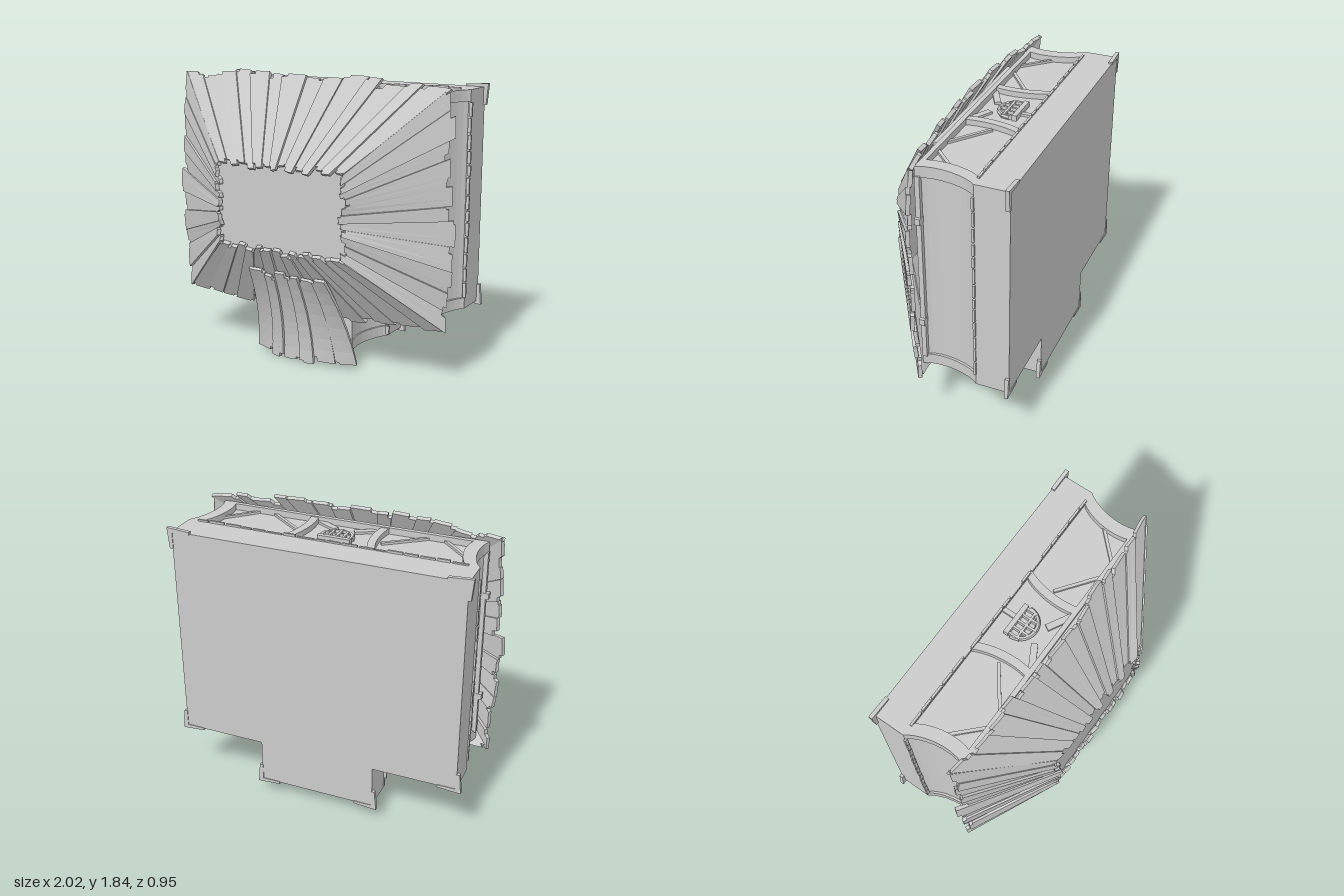
import * as THREE from 'three';

const mat = new THREE.MeshStandardMaterial({ color: 0xcccccc, flatShading: true });
const V = (x, y, z) => new THREE.Vector3(x, y, z);
const { lerp } = THREE.MathUtils;
let seed = 7;
const rnd = (a = 0, b = 1) => {
  seed = (seed * 16807) % 2147483647;
  return a + (b - a) * (seed / 2147483647);
};

function add(parent, name, geo, x = 0, y = 0, z = 0) {
  const m = new THREE.Mesh(geo, mat);
  m.name = name;
  m.position.set(x, y, z);
  parent.add(m);
  return m;
}
const box = (p, name, w, h, d, x, y, z) => add(p, name, new THREE.BoxGeometry(w, h, d), x, y, z);

// Flat bar lying between two points of a horizontal deck
function strut(p, x0, z0, x1, z1, y, w = 0.02, h = 0.02) {
  const m = box(p, 'deckStrut', Math.hypot(x1 - x0, z1 - z0), h, w, (x0 + x1) / 2, y, (z0 + z1) / 2);
  m.rotation.y = -Math.atan2(z1 - z0, x1 - x0);
}

// Horizontal outline extruded between two heights
function slab(p, name, shape, y0, y1) {
  const geo = new THREE.ExtrudeGeometry(shape, { depth: y1 - y0, bevelEnabled: false, curveSegments: 8 });
  return add(p, name, geo.rotateX(Math.PI / 2), 0, y1, 0);
}

// Plan outline with straight back and gently hollowed sides
function plan(w, front) {
  const s = new THREE.Shape();
  s.moveTo(-w, -0.48);
  s.lineTo(w, -0.48);
  s.lineTo(w, -0.27);
  s.bezierCurveTo(w - 0.05, -0.22, w - 0.11, -0.03, w - 0.05, front);
  s.lineTo(-w + 0.05, front);
  s.bezierCurveTo(-w + 0.11, -0.03, -w + 0.05, -0.22, -w, -0.27);
  return s;
}

// Curved rib in plan: x at the back, bowing sideways by "bow", width w
function rib(x, bow, w) {
  const s = new THREE.Shape();
  s.moveTo(x, -0.27);
  s.bezierCurveTo(x + bow * 0.45, -0.22, x + bow, -0.03, x + bow * 0.45, 0.1);
  s.lineTo(x + bow * 0.45 + w, 0.1);
  s.bezierCurveTo(x + bow + w, -0.03, x + bow * 0.45 + w, -0.22, x + w, -0.27);
  return s;
}

// Board with split ends: at(u, v) gives its back face, v runs along the grain
function plank(p, name, at, thick, segs, jitter, lift) {
  const geo = new THREE.BoxGeometry(1, 1, 1, 4, segs, 1);
  const pos = geo.attributes.position;
  const notch = rnd(0.12, 0.3);
  const left = rnd() < 0.5;
  const cols = left ? [0, notch, notch + 0.03, 0.75, 1] : [0, 0.3, 1 - notch - 0.03, 1 - notch, 1];
  const ends = [0, 1].map(() => {
    const e = rnd(-jitter, jitter), cut = rnd(0.015, 0.05);
    return cols.map((c, i) => e - (left ? i < 2 : i > 2) * cut + rnd(-0.006, 0.006));
  });
  const tilt = rnd(-0.012, 0.012);
  for (let i = 0; i < pos.count; i++) {
    const c = Math.round((pos.getX(i) + 0.5) * 4);
    const t = pos.getY(i) + 0.5;
    const u = cols[c], v = lerp(-ends[0][c], 1 + ends[1][c], t);
    const normal = at(1, v).sub(at(0, v)).cross(at(u, v + 0.01).sub(at(u, v - 0.01))).normalize();
    const q = at(u, v).addScaledVector(normal, lift + tilt * (u - 0.5) + (pos.getZ(i) + 0.5) * thick);
    pos.setXYZ(i, q.x, q.y, q.z);
  }
  const flat = geo.toNonIndexed();
  flat.computeVertexNormals();
  add(p, name, flat);
}

// Uneven division of 0..1 into n strips, running past both ends by "extra"
function divisions(n, extra = 0) {
  const cuts = [-extra];
  for (let i = 1; i < n; i++) cuts.push((i + rnd(-0.2, 0.2)) / n);
  return [...cuts, 1 + extra];
}

// Small barred basket set on a deck
function basket(p, x, y, z) {
  const g = new THREE.Group();
  g.name = 'basketGrille';
  box(g, 'basketBeam', 0.21, 0.04, 0.03, 0, 0, -0.07);
  for (const dx of [-0.09, -0.045, 0, 0.045, 0.09])
    box(g, 'basketBar', 0.014, 0.03, 0.14 - Math.abs(dx) * 0.6, dx, 0, -Math.abs(dx) * 0.3);
  const rim = add(g, 'basketRim', new THREE.TorusGeometry(0.1, 0.014, 6, 14, Math.PI), 0, 0, -0.04);
  rim.rotation.x = Math.PI / 2;
  box(g, 'basketCross', 0.19, 0.03, 0.014, 0, 0, 0);
  g.position.set(x, y, z);
  p.add(g);
}

export function createModel() {
  seed = 7;
  const model = new THREE.Group();
  model.name = 'plankedHood';

  // Main casing and stem
  const body = new THREE.Group();
  body.name = 'casing';
  model.add(body);
  slab(body, 'casingCore', plan(0.905, 0.09), 0.43, 1.72);
  box(body, 'backSlab', 1.84, 1.37, 0.21, 0, 1.075, -0.375);
  slab(body, 'stemCore', plan(0.37, 0.09), 0.15, 0.45);
  box(body, 'stemBack', 0.76, 0.36, 0.21, 0, 0.29, -0.375);

  // Raised end ribs at the side edges of each deck
  for (const [y0, y1, w] of [[1.69, 1.76, 0.92], [0.39, 0.46, 0.92], [0.11, 0.18, 0.38]])
    for (const s of [-1, 1])
      slab(body, 'edgeRib', rib(s > 0 ? w - 0.08 : -w, -s * 0.11, 0.08), y0, y1);
  for (const s of [-1, 1]) {
    box(body, 'sideFrontPost', 0.03, 1.25, 0.03, s * 0.86, 1.075, 0.085);
    for (const y of [0.72, 1.42]) box(body, 'sideClip', 0.05, 0.04, 0.035, s * 0.87, y, 0.085);
  }
  for (const [y, w] of [[1.735, 1.68], [0.415, 1.68], [0.135, 0.6]])
    box(body, 'deckFrontRail', w, 0.05, 0.03, 0, y, 0.085);
  box(body, 'topFrontSill', 1.1, 0.04, 0.06, 0, 1.72, 0.11);

  // Top deck dressing
  for (const s of [-1, 1]) {
    slab(body, 'topRib', rib(s > 0 ? 0.25 : -0.3, -s * 0.08, 0.05), 1.71, 1.755);
    strut(body, s * 0.8, -0.11, s * 0.6, 0.09, 1.725);
    strut(body, s * 0.52, 0.09, s * 0.27, -0.1, 1.725);
    strut(body, s * 0.24, 0.1, s * 0.06, 0, 1.725, 0.04);
  }
  strut(body, 0.015, -0.27, 0.015, -0.16, 1.725, 0.03);
  basket(body, 0, 1.735, -0.1);

  // Underside dressing beside the stem and beneath it
  for (const s of [-1, 1]) {
    basket(body, s * 0.61, 0.415, -0.09);
    for (const [dx, z] of [[-0.2, -0.25], [0.2, -0.25], [-0.2, 0.08], [0.2, 0.08]])
      strut(body, s * 0.61 + dx, z, s * 0.61 + dx * 0.4, -0.09 + (z + 0.09) * 0.4, 0.425);
    strut(body, s * 0.29, -0.26, s * 0.13, -0.15, 0.145);
    strut(body, s * 0.26, 0.08, s * 0.13, -0.03, 0.145);
    for (let i = 0; i < 4; i++)
      box(body, 'stemTrim', 0.025, 0.055, 0.014, s * (0.38 + rnd(-0.006, 0.008)), 0.15 + i * 0.065, -0.267);
  }
  add(body, 'stemDisc', new THREE.CylinderGeometry(0.12, 0.12, 0.05, 24), 0, 0.14, -0.09);
  const ring = add(body, 'stemRing', new THREE.TorusGeometry(0.155, 0.018, 6, 24), 0, 0.14, -0.09);
  ring.rotation.x = Math.PI / 2;

  // Broken trim strips along the step in the casing
  const topCuts = divisions(18), sideCuts = divisions(13);
  for (let i = 0; i < 18; i++) {
    const x = -0.86 + 1.72 * (topCuts[i] + topCuts[i + 1]) / 2, w = 1.72 * (topCuts[i + 1] - topCuts[i]) - 0.012;
    box(body, 'topTrim', w, 0.02, 0.014, x, 1.76 + rnd(-0.005, 0.005), -0.27);
    if (Math.abs(x) > 0.45) box(body, 'bottomTrim', w, 0.02, 0.014, x, 0.39, -0.27);
  }
  for (let i = 0; i < 13; i++) for (const s of [-1, 1])
    box(body, 'sideTrim', 0.02, 1.23 * (sideCuts[i + 1] - sideCuts[i]) - 0.012, 0.014,
      s * (0.92 + rnd(-0.004, 0.006)), 0.46 + 1.23 * (sideCuts[i] + sideCuts[i + 1]) / 2, -0.267);

  // Flared corner brackets at the back
  for (const [cx, cy, dy] of [[0.92, 1.76, 1], [0.92, 0.39, -1], [0.38, 0.11, -1]])
    for (const s of [-1, 1]) {
      const b = new THREE.Shape([[0.03, 0.022], [0.018, -0.11], [-0.005, -0.11], [-0.005, -0.005],
        [-0.12, -0.005], [-0.12, 0.012]].map(([x, y]) => new THREE.Vector2(s * (cx + x), cy + dy * y)));
      add(body, 'cornerBracket', new THREE.ExtrudeGeometry(b, { depth: 0.024, bevelEnabled: false }), 0, 0, -0.484);
    }

  // Four-sided flare of boards, walked anticlockwise from the model's upper left corner
  const hood = new THREE.Group();
  hood.name = 'boardFlare';
  model.add(hood);
  const outer = [V(0.94, 1.79, 0.07), V(-0.94, 1.79, 0.07), V(-0.94, 0.36, 0.07), V(0.94, 0.36, 0.07)];
  const inner = [V(0.43, 1.295, 0.42), V(-0.43, 1.295, 0.42), V(-0.43, 0.8, 0.42), V(0.43, 0.8, 0.42)];
  const bulge = [V(0, 0.035, 0.045), V(-0.035, 0, 0.01), V(0, -0.01, 0.04), V(0.035, 0, 0.01)];
  [14, 11, 14, 11].forEach((n, k) => {
    const low = divisions(n, 0.008), high = divisions(n, 0.012), j = (k + 1) % 4;
    for (let i = 0; i < n; i++) {
      const at = (u, v) => {
        const s = lerp(lerp(low[i], low[i + 1], u), lerp(high[i], high[i + 1], u), v);
        const o = outer[k].clone().lerp(outer[j], s).addScaledVector(bulge[k], Math.sin(Math.PI * s));
        return o.lerp(inner[k].clone().lerp(inner[j], s), v);
      };
      const edge = i === 0 || i === n - 1;
      plank(hood, 'flareBoard', at, 0.024, 1, edge ? 0.02 : 0.04, edge ? 0 : (i % 2) * 0.012);
    }
  });
  box(hood, 'frontPanel', 0.92, 0.56, 0.02, 0, 1.05, 0.405);

  // Curved apron of boards hanging in front of the stem
  const apron = new THREE.Group();
  apron.name = 'apron';
  model.add(apron);
  const cuts = divisions(6);
  for (let i = 0; i < 6; i++) {
    const at = (u, v) => {
      const s = 2 * lerp(cuts[i], cuts[i + 1], u) - 1;
      return V(s * (0.37 - 0.09 * v), 0.018 + 0.605 * v,
        0.185 + 0.15 * v * Math.abs(v) - s * s * 0.085 * (1 - v));
    };
    plank(apron, 'apronBoard', at, 0.022, 7, 0.03, (i % 2) * 0.01);
  }
  return model;
}
